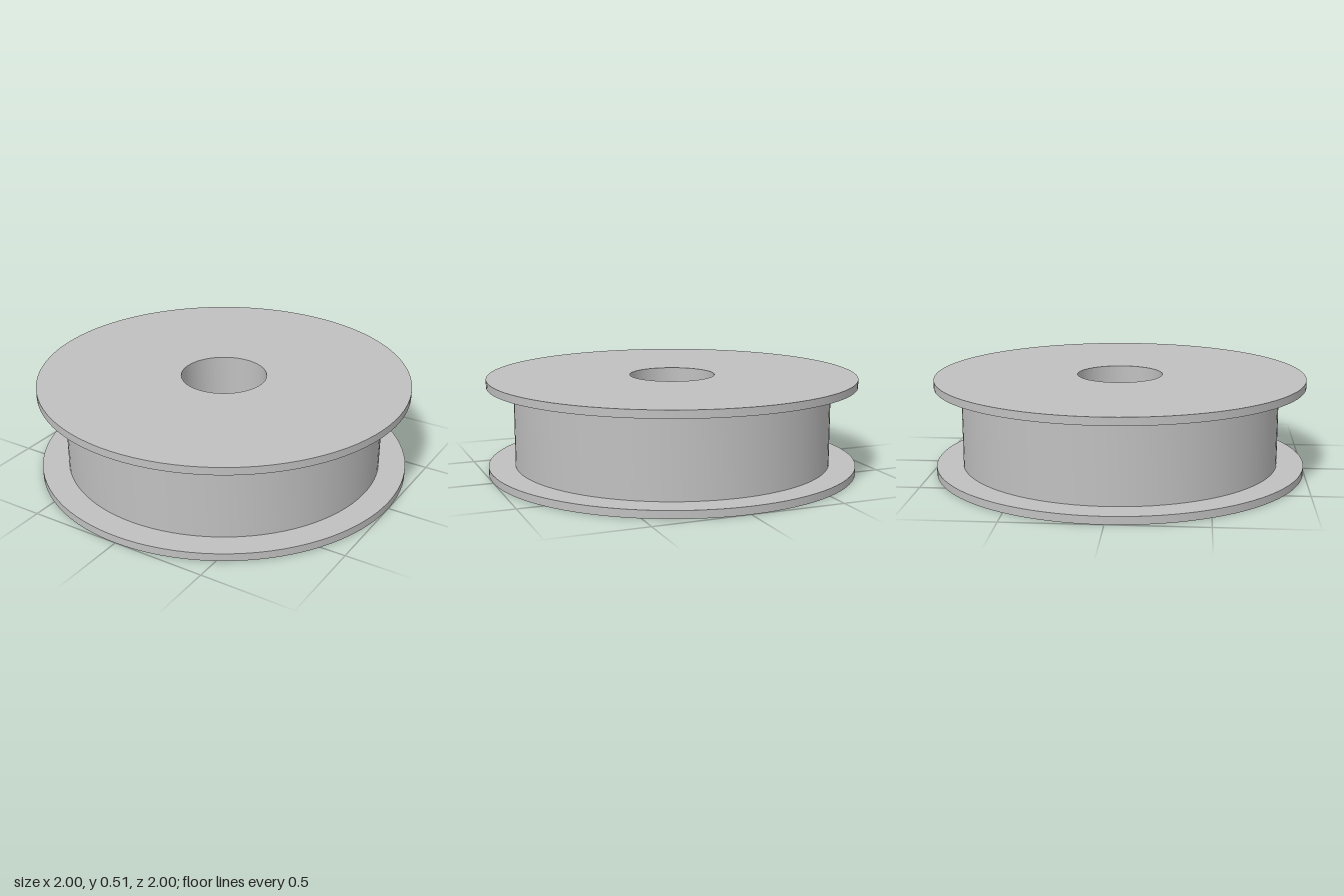
import * as THREE from 'three';
import { toCreasedNormals } from 'three/addons/utils/BufferGeometryUtils.js';

const SEGMENTS = 96;
const RIM = 1, CORE = 0.857, BORE = 0.23; // radii
const HEIGHT = 0.513, FLANGE = 0.041; // total height, flange thickness

export function createModel() {
  const model = new THREE.Group();
  model.name = 'spool';
  const grey = new THREE.MeshStandardMaterial({ color: 0xc0c0c0 });
  grey.name = 'plain grey';

  // Turns a [radius, height] profile about the y axis, keeping its corners sharp
  function turn(name, profile) {
    const points = profile.map(([r, y]) => new THREE.Vector2(r, y));
    const geometry = toCreasedNormals(new THREE.LatheGeometry(points, SEGMENTS), 0.6);
    const mesh = new THREE.Mesh(geometry, grey);
    mesh.name = name;
    model.add(mesh);
  }

  const top = HEIGHT - FLANGE;
  turn('lowerFlange', [[BORE, 0], [RIM, 0], [RIM, FLANGE], [CORE, FLANGE]]);
  turn('core', [[CORE, FLANGE], [CORE, top]]);
  turn('upperFlange', [[CORE, top], [RIM, top], [RIM, HEIGHT], [BORE, HEIGHT]]);
  // Through hole, facing the axis
  turn('boreWall', [[BORE, HEIGHT], [BORE, 0]]);

  return model;
}
